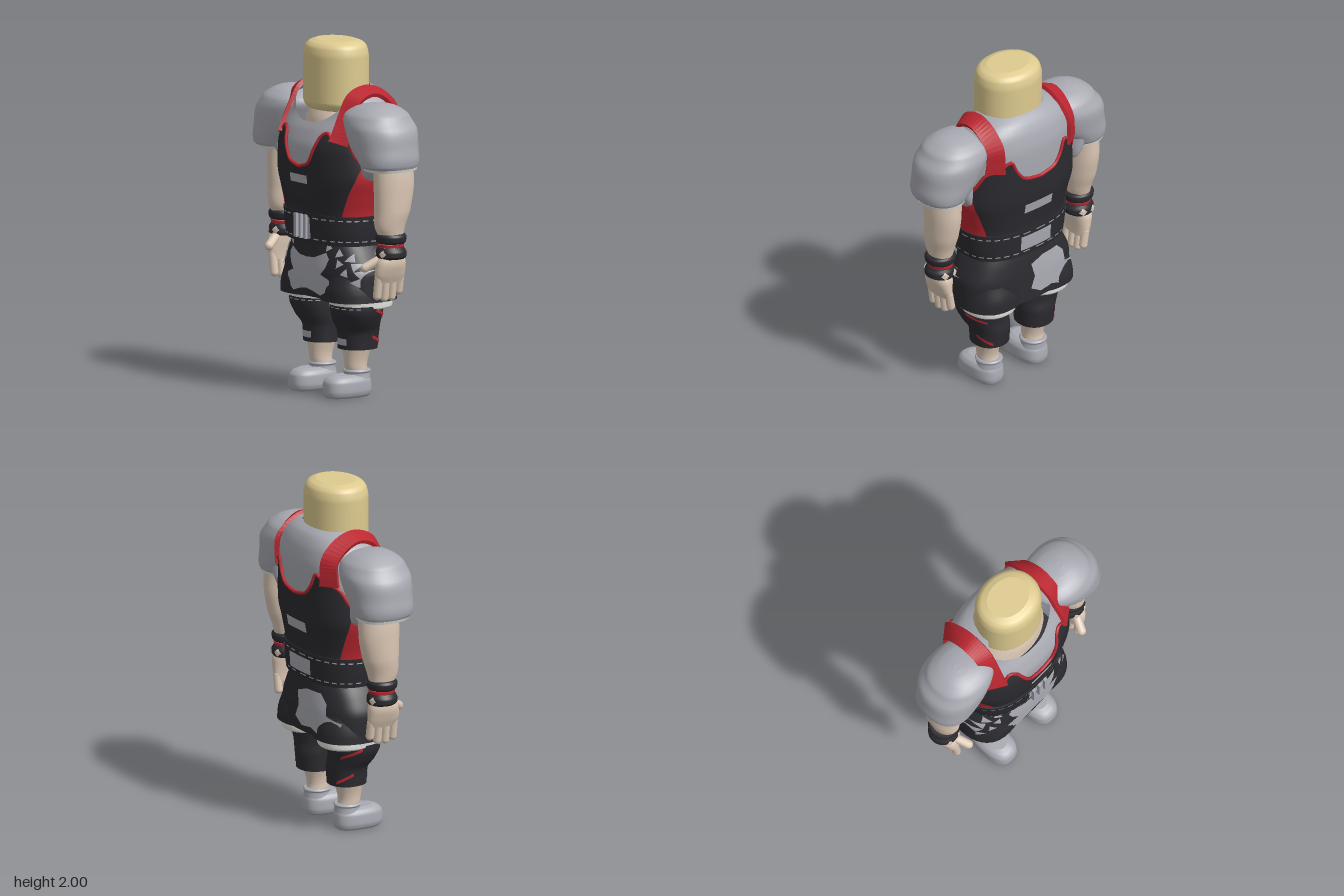
import * as THREE from 'three';

const mat = (name, color) => new THREE.MeshStandardMaterial({ name, color, side: THREE.DoubleSide });
const D = Math.PI / 180, lerp = THREE.MathUtils.lerp;
const V = (x, y, z) => new THREE.Vector3(x, y, z);

// Smooth, overshoot-free interpolation of rows [key, ...values]
function sample(rows, y, k) {
  const n = rows.length - 1;
  y = Math.min(Math.max(y, rows[0][0]), rows[n][0]);
  let i = 0;
  while (i < n - 1 && y > rows[i + 1][0]) i++;
  const sec = j => (rows[j + 1][k] - rows[j][k]) / (rows[j + 1][0] - rows[j][0]);
  const slope = j => {
    if (j === 0) return sec(0);
    if (j === n) return sec(n - 1);
    const a = sec(j - 1), b = sec(j);
    return a * b <= 0 ? 0 : 2 * a * b / (a + b);
  };
  const h = rows[i + 1][0] - rows[i][0], t = (y - rows[i][0]) / h, t2 = t * t, t3 = t2 * t;
  return (2 * t3 - 3 * t2 + 1) * rows[i][k] + (t3 - 2 * t2 + t) * h * slope(i)
    + (3 * t2 - 2 * t3) * rows[i + 1][k] + (t3 - t2) * h * slope(i + 1);
}

// Body surface from superellipse sections [y, cx, cz, rx, rz]; angle 0 is the front, 90 degrees is +x
function surface(rows, n = 2) {
  const get = (y, k) => sample(rows, y, k);
  const pw = c => Math.sign(c) * Math.abs(c) ** (2 / n);
  return {
    rows,
    at: (a, y, off = 0) => V(get(y, 1) + (get(y, 3) + off) * pw(Math.sin(a)), y, get(y, 2) + (get(y, 4) + off) * pw(Math.cos(a))),
    on: (x, y, dir = 1, off = 0) => {
      const t = Math.min(1, Math.abs(x - get(y, 1)) / (get(y, 3) + off));
      return V(x, y, get(y, 2) + dir * (get(y, 4) + off) * (1 - t ** n) ** (1 / n));
    },
  };
}

// Grid of points fn(u, v), optionally closed round u and capped at both ends
function grid(nu, nv, fn, closed = false, caps = false) {
  const pos = [], idx = [], w = closed ? nu : nu + 1;
  for (let j = 0; j <= nv; j++) for (let i = 0; i < w; i++) pos.push(...fn(i / nu, j / nv));
  for (let j = 0; j < nv; j++) for (let i = 0; i < nu; i++) {
    const a = j * w + i, b = j * w + (i + 1) % w;
    idx.push(a, b, b + w, a, b + w, a + w);
  }
  if (caps) for (const v of [0, 1]) {
    const c = pos.length / 3, ring = Array.from({ length: nu }, (_, i) => fn(i / nu, v).toArray());
    const mid = [0, 1, 2].map(k => ring.reduce((s, p) => s + p[k], 0) / nu);
    pos.push(...mid, ...ring.flat());
    for (let i = 0; i < nu; i++) {
      const p = c + 1 + i, q = c + 1 + (i + 1) % nu;
      idx.push(c, ...(v ? [p, q] : [q, p]));
    }
  }
  const g = new THREE.BufferGeometry();
  g.setAttribute('position', new THREE.Float32BufferAttribute(pos, 3));
  g.setIndex(idx);
  g.computeVertexNormals();
  return g;
}

function loft(S, nu = 40, sub = 5) {
  const n = S.rows.length - 1;
  return grid(nu, n * sub, (u, v) => {
    const i = Math.min(n - 1, Math.floor(v * n + 1e-9));
    return S.at(u * 2 * Math.PI - Math.PI, lerp(S.rows[i][0], S.rows[i + 1][0], v * n - i));
  }, true, true);
}

// Flat patch with a free outline laid on the front (dir 1) or back (dir -1) of a surface
function fan(S, outline, cx, cy, dir = 1, off = 0.006) {
  const n = outline.length;
  return grid(n * 4, 6, (u, v) => {
    const e = (u * n) % n, i = Math.floor(e + 1e-9), p = outline[i], q = outline[(i + 1) % n], f = e - i;
    const r = 1 - v;
    return S.on(lerp(cx, lerp(p[0], q[0], f), r), lerp(cy, lerp(p[1], q[1], f), r), dir, off);
  }, true);
}
const plate = (S, x0, x1, y0, y1, dir = 1, off = 0.005) =>
  grid(10, 4, (u, v) => S.on(dir > 0 ? lerp(x0, x1, u) : lerp(x1, x0, u), lerp(y0, y1, v), dir, off));

export function createModel() {
  const root = new THREE.Group();
  const skin = mat('skin', 0xdcc8b5), tan = mat('head tan', 0xdecb90), grey = mat('grey cloth', 0xa9aab2),
    black = mat('black cloth', 0x2b2b30), red = mat('red trim', 0xbc2731), white = mat('white trim', 0xe2e3dd);
  const add = (name, geo, m) => {
    const mesh = new THREE.Mesh(geo, m);
    mesh.name = name;
    root.add(mesh);
    return mesh;
  };
  const capsule = (name, a, b, r, m) => {
    const mesh = add(name, new THREE.CapsuleGeometry(r, a.distanceTo(b), 6, 12), m);
    mesh.position.copy(a).lerp(b, 0.5);
    mesh.quaternion.setFromUnitVectors(V(0, 1, 0), b.clone().sub(a).normalize());
  };

  // Head and neck
  add('head', loft(surface([[1.605, 0, 0.01, 0.15, 0.125], [1.62, 0, 0.01, 0.182, 0.152], [1.66, 0, 0.01, 0.2, 0.17],
    [1.91, 0, 0.01, 0.2, 0.17], [1.96, 0, 0.01, 0.19, 0.161], [1.985, 0, 0.01, 0.17, 0.142], [2, 0, 0.01, 0.13, 0.105]], 2.1), 48), tan);
  add('neck', loft(surface([[1.45, 0, -0.02, 0.25, 0.19], [1.56, 0, -0.005, 0.19, 0.17], [1.66, 0, 0, 0.14, 0.13]])), skin);

  // Shirt body with a scooped collar
  const torso = surface([[0.9, 0, 0, 0.32, 0.21], [1.04, 0, 0.005, 0.325, 0.22], [1.15, 0, 0.007, 0.352, 0.235],
    [1.26, 0, 0.005, 0.38, 0.25], [1.4, 0, 0.003, 0.37, 0.255], [1.5, 0, -0.012, 0.36, 0.242], [1.6, 0, -0.035, 0.345, 0.212],
    [1.66, 0, -0.037, 0.325, 0.195], [1.7, 0, -0.035, 0.285, 0.178], [1.73, 0, -0.025, 0.235, 0.165], [1.75, 0, -0.01, 0.185, 0.145]], 2.45);
  const collar = a => 1.748 - 0.198 * Math.max(0, Math.cos(a)) ** 3;
  add('shirt', grid(80, 50, (u, v) => {
    const a = u * 2 * Math.PI - Math.PI;
    return torso.at(a, lerp(0.9, collar(a), v));
  }, true), grey);

  // Vest with shaped neckline and armholes
  const edge = [[0, 1.305], [9, 1.33], [15, 1.4], [22, 1.49], [28, 1.51], [39, 1.47], [55, 1.47], [67, 1.38], [90, 1.26],
    [112, 1.37], [124, 1.46], [141, 1.5], [152, 1.53], [159, 1.46], [168, 1.4], [180, 1.38]];
  const vestTop = a => sample(edge, Math.abs(a) / D, 1);
  add('vest', grid(180, 24, (u, v) => {
    const a = u * 2 * Math.PI - Math.PI;
    return torso.at(a, lerp(0.96, vestTop(a), v), 0.01);
  }, true), black);
  const rim = Array.from({ length: 120 }, (_, i) => (i * 3 - 180) * D).map(a => torso.at(a, vestTop(a), 0.009));
  add('vestTrim', new THREE.TubeGeometry(new THREE.CatmullRomCurve3(rim, true), 240, 0.01, 6, true), red);
  add('vestFrontPatch', plate(torso, -0.08, 0.08, 1.21, 1.258, 1, 0.016), grey);
  add('vestBackPatch', plate(torso, -0.1, 0.1, 1.16, 1.22, -1, 0.016), grey);

  // Belt with stitching, buckle and back patch
  const belt = surface([[0.87, 0, 0.003, 0.328, 0.222], [0.95, 0, 0.005, 0.34, 0.23], [1.04, 0, 0.005, 0.347, 0.234]], 2.5);
  add('belt', loft(belt, 64), black);
  for (const y of [0.893, 1.013]) for (let i = 0; i < 32; i++)
    add('beltStitch', grid(3, 1, (u, v) => belt.at((i + u * 0.6) * Math.PI / 16, y + v * 0.007, 0.003)), grey);
  add('beltBackPatch', plate(belt, -0.11, 0.11, 0.91, 1.0, -1), grey);
  add('bucklePlate', plate(belt, -0.07, 0.07, 0.9, 1.015), grey);
  for (const x of [-0.045, 0, 0.045]) {
    const bar = add('buckleBar', new THREE.BoxGeometry(0.022, 0.135, 0.016), grey);
    bar.position.set(x, 0.963, 0.252);
  }

  // Shorts with worn patches
  const hips = surface([[0.563, 0, -0.007, 0.375, 0.217], [0.7, 0, -0.004, 0.374, 0.214], [0.8, 0, -0.003, 0.335, 0.205], [0.9, 0, 0, 0.27, 0.19]], 2.5);
  add('shorts', loft(hips, 64), black);
  const half = [[0, 0.785], [0.07, 0.79], [0.16, 0.825], [0.185, 0.79], [0.165, 0.74], [0.13, 0.7], [0.195, 0.675], [0.2, 0.62], [0.13, 0.58], [0.06, 0.6], [0, 0.61]];
  const mirrored = half.slice(1, -1).reverse().map(([x, y]) => [-x, y]);
  add('shortsFrontPatch', fan(hips, [...half, ...mirrored].reverse(), 0, 0.7), grey);
  add('shortsBackPatch', fan(hips, [[0.03, 0.79], [-0.06, 0.82], [-0.18, 0.82], [-0.23, 0.77], [-0.24, 0.7], [-0.33, 0.67], [-0.3, 0.6],
    [-0.2, 0.575], [-0.12, 0.61], [-0.03, 0.6], [0.04, 0.64], [0.01, 0.71]].reverse(), -0.11, 0.69, -1, 0.01), grey);
  const flecks = [[0.25, 0.77], [0.29, 0.72], [0.33, 0.76], [0.24, 0.825], [0.345, 0.67], [0.28, 0.63], [0.3, 0.8], [0.355, 0.72], [0.17, 0.855]];

  for (const s of [1, -1]) {
    // Sections mirrored to one side of the body
    const side = (rows, n) => surface(rows.map(([y, x, ...r]) => [y, s * x, ...r]), n);
    const limb = (name, m, rows, n) => {
      const S = side(rows, n);
      add(name, loft(S), m);
      return S;
    };
    flecks.forEach(([x, y], i) => add('shortsFleck', fan(hips, [0, 1, 2].map(k => {
      const a = i * 1.3 + k * 2.1;
      return [s * (x + 0.026 * Math.cos(a)), y + 0.03 * Math.sin(a)];
    }), s * x, y), grey));

    // Red side panel
    add('vestSidePanel', grid(24, 10, (u, v) => {
      const b = s * lerp(lerp(50, 74, v), lerp(124, 108, v), u) * D;
      return torso.at(b, lerp(1.02, vestTop(b) - 0.005, v), 0.015);
    }), red);

    // Shoulder strap
    const path = [torso.on(0.28, 1.455, 1, 0.01), torso.on(0.28, 1.53, 1, 0.012), torso.on(0.277, 1.61, 1, 0.016), V(0.277, 1.695, 0.085),
      V(0.277, 1.728, 0.03), V(0.277, 1.737, -0.04), V(0.277, 1.7, -0.125), torso.on(0.278, 1.62, -1, 0.016), torso.on(0.28, 1.54, -1, 0.012), torso.on(0.28, 1.475, -1, 0.01)];
    const curve = new THREE.CatmullRomCurve3(path.map(p => V(s * p.x, p.y, p.z)));
    add('shoulderStrap', grid(4, 40, (u, v) => {
      const c = curve.getPoint(v), t = curve.getTangent(v);
      const l = V(s, -0.4, -3.6 * c.z);
      l.addScaledVector(t, -l.dot(t)).normalize();
      const nrm = t.clone().cross(l).normalize(), k = Math.round(u * 4) % 4;
      const w = 0.05 + 0.008 * Math.abs(2 * v - 1) ** 6;
      return c.addScaledVector(l, k === 0 || k === 3 ? -w : w).addScaledVector(nrm, k < 2 ? -0.011 : 0.011);
    }, true, true).toNonIndexed(), red).geometry.computeVertexNormals();

    // Sleeve, underarm, white cuff lining and arm
    limb('sleeve', grey, [[1.335, 0.515, 0.005, 0.128, 0.15], [1.36, 0.512, 0.01, 0.143, 0.168], [1.45, 0.465, 0.01, 0.188, 0.182], [1.55, 0.43, 0.008, 0.207, 0.19],
      [1.62, 0.395, 0.01, 0.192, 0.17], [1.665, 0.395, 0.01, 0.135, 0.12], [1.685, 0.41, 0.01, 0.07, 0.065], [1.692, 0.42, 0.01, 0.015, 0.02]], 2.25);
    limb('underarm', grey, [[1.25, 0.385, -0.01, 0.015, 0.07], [1.29, 0.4, -0.01, 0.04, 0.12], [1.4, 0.43, 0, 0.09, 0.15]]);
    limb('cuffLining', white, [[1.326, 0.515, 0.004, 0.127, 0.149], [1.342, 0.515, 0.006, 0.132, 0.155]], 2.25);
    limb('arm', skin, [[0.84, 0.515, 0, 0.058, 0.066], [0.94, 0.515, 0, 0.06, 0.072], [1.0, 0.512, 0.005, 0.073, 0.09], [1.1, 0.515, -0.01, 0.087, 0.108],
      [1.25, 0.515, -0.02, 0.092, 0.122], [1.42, 0.5, -0.02, 0.095, 0.12]]);

    // Wristbands
    limb('wristband', black, [[0.912, 0.515, 0, 0.075, 0.075], [0.925, 0.515, 0, 0.086, 0.084], [0.95, 0.515, 0, 0.09, 0.086], [0.965, 0.515, 0, 0.08, 0.078]]);
    limb('redBand', red, [[0.892, 0.515, 0, 0.068, 0.075], [0.908, 0.515, 0, 0.07, 0.077]]);
    const glove = limb('handWrap', black, [[0.825, 0.515, 0, 0.07, 0.078], [0.84, 0.515, 0, 0.088, 0.086], [0.862, 0.515, 0, 0.088, 0.086], [0.89, 0.515, 0, 0.068, 0.074]]);
    for (const d of [1, -1]) for (const x of [0.48, 0.55])
      add('wrapOpening', fan(glove, [[s * x, 0.834], [s * x + 0.023, 0.857], [s * x, 0.88], [s * x - 0.023, 0.857]], s * x, 0.857, d), skin);

    // Hand
    limb('palm', skin, [[0.69, 0.505, 0.005, 0.032, 0.085], [0.74, 0.515, 0.008, 0.044, 0.096], [0.8, 0.52, 0.005, 0.056, 0.092], [0.85, 0.515, 0, 0.058, 0.07]], 2.3);
    [-0.066, -0.018, 0.031, 0.08].forEach((z, i) =>
      capsule('finger', V(s * 0.51, 0.72, z), V(s * 0.495, [0.635, 0.605, 0.602, 0.615][i], z), 0.024, skin));
    capsule('thumb', V(s * 0.5, 0.825, 0.06), V(s * 0.462, 0.775, 0.14), 0.026, skin);

    // Shorts leg, white hem and legging
    limb('shortsLeg', black, [[0.552, 0.192, -0.008, 0.184, 0.213], [0.6, 0.19, -0.007, 0.182, 0.213], [0.7, 0.18, -0.005, 0.17, 0.19]], 2.4);
    limb('whiteHem', white, [[0.505, 0.195, -0.035, 0.142, 0.158], [0.515, 0.195, -0.035, 0.15, 0.166], [0.555, 0.195, -0.03, 0.152, 0.172]], 2.2);
    limb('whiteHemBand', white, [[0.527, 0.197, 0.005, 0.153, 0.153], [0.556, 0.197, 0.005, 0.156, 0.158]], 2.2);
    const legging = limb('legging', black, [[0.27, 0.165, -0.02, 0.106, 0.11], [0.36, 0.168, -0.022, 0.112, 0.115], [0.43, 0.185, 0, 0.133, 0.13],
      [0.5, 0.197, 0.008, 0.147, 0.143], [0.53, 0.197, 0.008, 0.147, 0.143]], 2.2);
    add('leggingPatch', plate(legging, s * 0.17 - 0.042, s * 0.17 + 0.042, 0.295, 0.332), grey);
    for (let i = -3; i <= 3; i++)
      add('leggingStitch', grid(3, 1, (u, v) => legging.at((i * 18 + u * 11) * D, 0.51 + v * 0.006, 0.003)), grey);
    for (const [a0, a1, y0, y1] of [[100, 150, 0.495, 0.44], [98, 150, 0.335, 0.285]])
      add('redSlash', grid(14, 2, (u, v) => legging.at(s * lerp(a0, a1, u) * D, lerp(y0, y1, u) + v * 0.018, 0.004)), red);

    // Calf, sock and shoe
    limb('calf', skin, [[0.12, 0.165, -0.015, 0.06, 0.062], [0.18, 0.168, -0.005, 0.06, 0.066], [0.29, 0.17, -0.012, 0.083, 0.088]]);
    limb('sock', grey, [[0.1, 0.165, -0.015, 0.074, 0.076], [0.132, 0.165, -0.015, 0.07, 0.074], [0.142, 0.165, -0.015, 0.077, 0.08], [0.152, 0.165, -0.015, 0.07, 0.073]]);
    limb('shoe', grey, [[0, 0.165, 0.052, 0.07, 0.13], [0.012, 0.165, 0.052, 0.082, 0.142], [0.04, 0.165, 0.052, 0.09, 0.147], [0.085, 0.165, 0.052, 0.088, 0.143],
      [0.112, 0.165, 0.048, 0.074, 0.127], [0.126, 0.165, 0.04, 0.05, 0.098]], 2.6);
  }
  return root;
}
